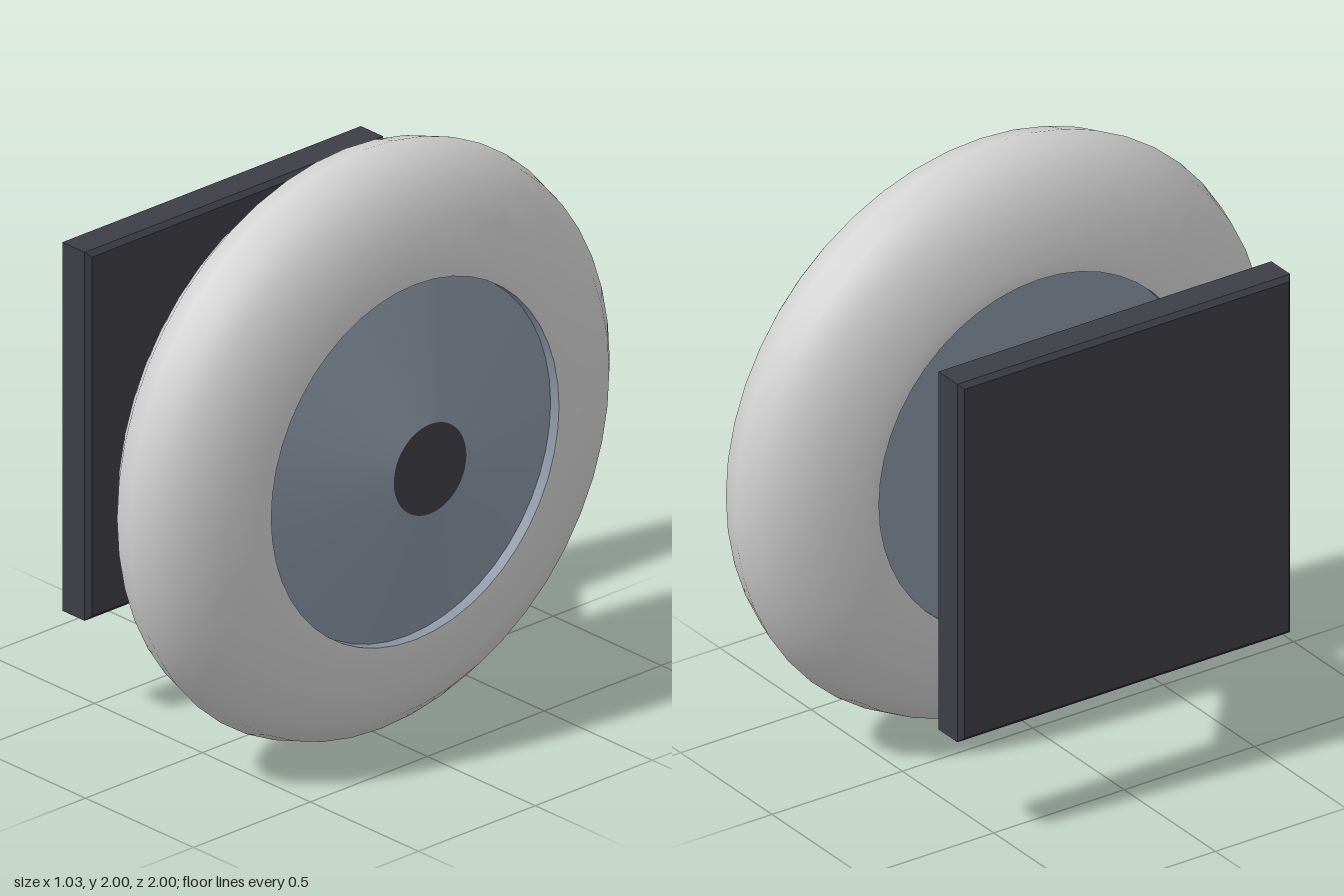
import * as THREE from 'three';

const SEGMENTS = 48;

function material(name, color) {
  const m = new THREE.MeshStandardMaterial({ color });
  m.name = name;
  return m;
}

export function createModel() {
  const model = new THREE.Group();
  model.name = 'wallMountedWheel';

  const rubber = material('light grey rubber', 0xd2d2d2);
  const steel = material('blue grey steel', 0x8c96a5);
  const dark = material('dark charcoal', 0x3d3d46);
  const brass = material('orange brass', 0xc98a35);

  // Turns a profile of [radius, x] pairs about the horizontal axle line
  const turned = (name, profile, mat) => {
    const points = profile.map(([r, x]) => new THREE.Vector2(r, x));
    const mesh = new THREE.Mesh(new THREE.LatheGeometry(points, SEGMENTS), mat);
    mesh.name = name;
    mesh.rotation.z = -Math.PI / 2;
    mesh.position.y = 1;
    model.add(mesh);
  };

  // Tyre: outer part of an oval ring, cut straight at the rim opening
  const centre = 0.204, rimRadius = 0.615;
  const tyre = [[rimRadius, centre - 0.24]];
  for (let a = -80; a <= 80; a += 20) {
    const t = THREE.MathUtils.degToRad(a);
    tyre.push([0.6 + 0.4 * Math.cos(t), centre + 0.244 * Math.sin(t)]);
  }
  tyre.push([rimRadius, centre + 0.24]);
  turned('tyre', tyre, rubber);

  // Recessed rim walls, outer cone and inner disc
  turned('outerRimWall', [[rimRadius, 0.444], [rimRadius, 0.405]], steel);
  turned('hubCone', [[rimRadius, 0.405], [0.155, 0.513]], steel);
  turned('hubCap', [[0.155, 0.513], [0, 0.513]], dark);
  turned('innerDisc', [[0, 0], [rimRadius, 0]], steel);
  turned('innerRimWall', [[rimRadius, 0], [rimRadius, -0.036]], steel);

  // Flared axle and the brass ring at its foot
  turned('axleFlange', [[0.33, -0.385], [0.33, -0.365]], steel);
  turned('axleFlare', [[0.325, -0.352], [0.18, -0.12]], steel);
  turned('axleShaft', [[0.18, -0.12], [0.165, 0.002]], steel);
  const ring = new THREE.Mesh(new THREE.TorusGeometry(0.322, 0.011, 8, SEGMENTS), brass);
  ring.name = 'brassRing';
  ring.rotation.y = Math.PI / 2;
  ring.position.set(-0.36, 1, 0);
  model.add(ring);

  // Square mounting plate with chamfered edges
  const bevel = 0.016, half = 0.638 - bevel, thickness = 0.135;
  const square = new THREE.Shape([
    new THREE.Vector2(-half, -half), new THREE.Vector2(half, -half),
    new THREE.Vector2(half, half), new THREE.Vector2(-half, half),
  ]);
  const plateGeometry = new THREE.ExtrudeGeometry(square, {
    depth: thickness - 2 * bevel, bevelEnabled: true,
    bevelSize: bevel, bevelThickness: bevel, bevelSegments: 1,
  });
  plateGeometry.center();
  const plate = new THREE.Mesh(plateGeometry, dark);
  plate.name = 'mountingPlate';
  plate.rotation.y = Math.PI / 2;
  plate.position.set(-0.447, 1.003, 0);
  model.add(plate);

  return model;
}
